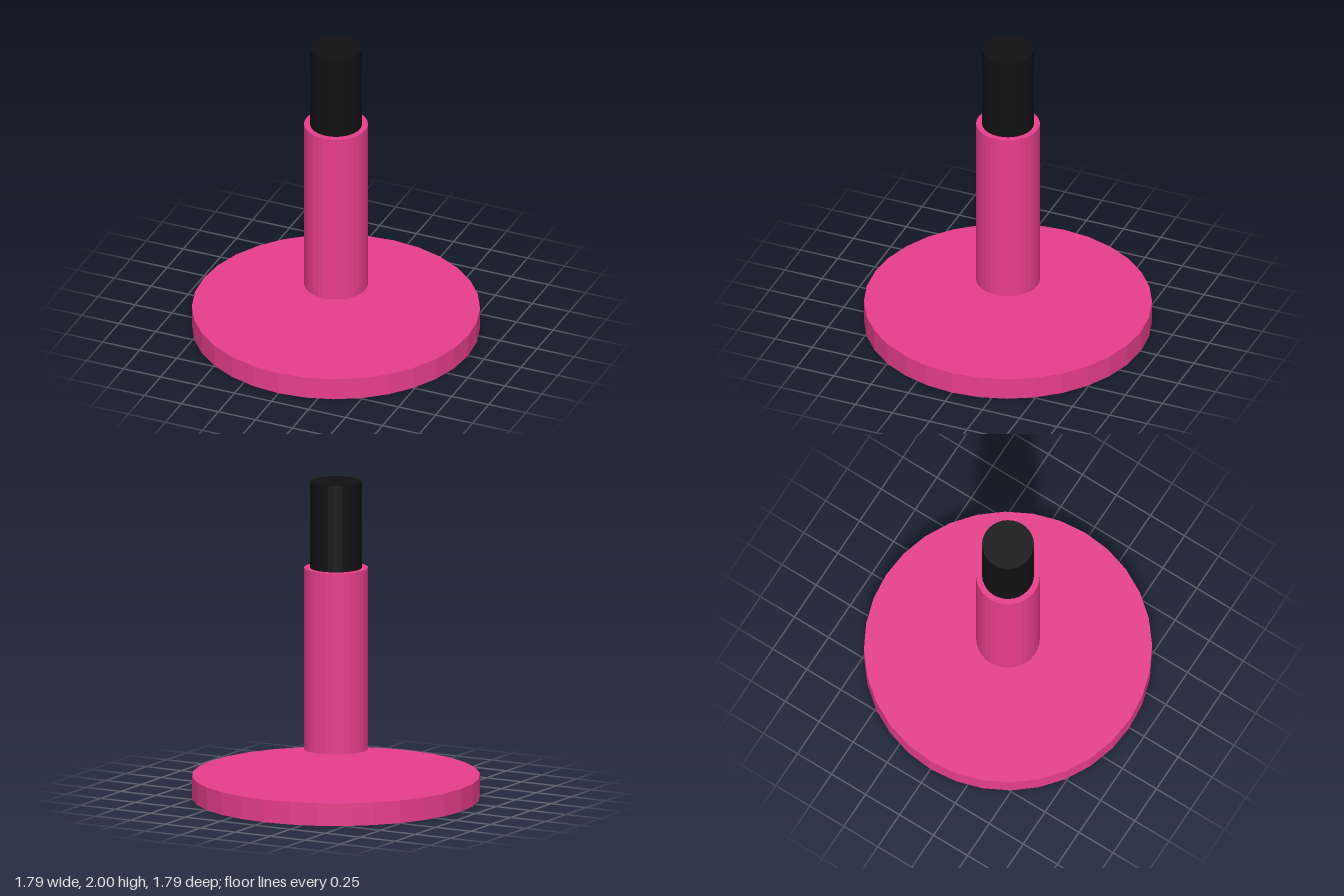
import * as THREE from 'three';

const SIDES = 32;

export function createModel() {
  const pink = new THREE.MeshStandardMaterial({ color: 0xe83e8c, flatShading: true });
  pink.name = 'pink';
  const black = new THREE.MeshStandardMaterial({ color: 0x111111, flatShading: true });
  black.name = 'black';

  const model = new THREE.Group();
  model.name = 'pedestal';

  // Upright cylinder spanning bottom to top
  function addCylinder(name, radius, bottom, top, material) {
    const mesh = new THREE.Mesh(
      new THREE.CylinderGeometry(radius, radius, top - bottom, SIDES), material);
    mesh.name = name;
    mesh.position.y = (bottom + top) / 2;
    model.add(mesh);
  }

  // Wide disc on the ground
  addCylinder('baseDisc', 0.893, 0, 0.143, pink);
  // Column floating above the disc
  addCylinder('column', 0.198, 0.31, 1.455, pink);
  // Narrower dark post rising from the column
  addCylinder('topPost', 0.161, 1.455, 2, black);

  return model;
}
